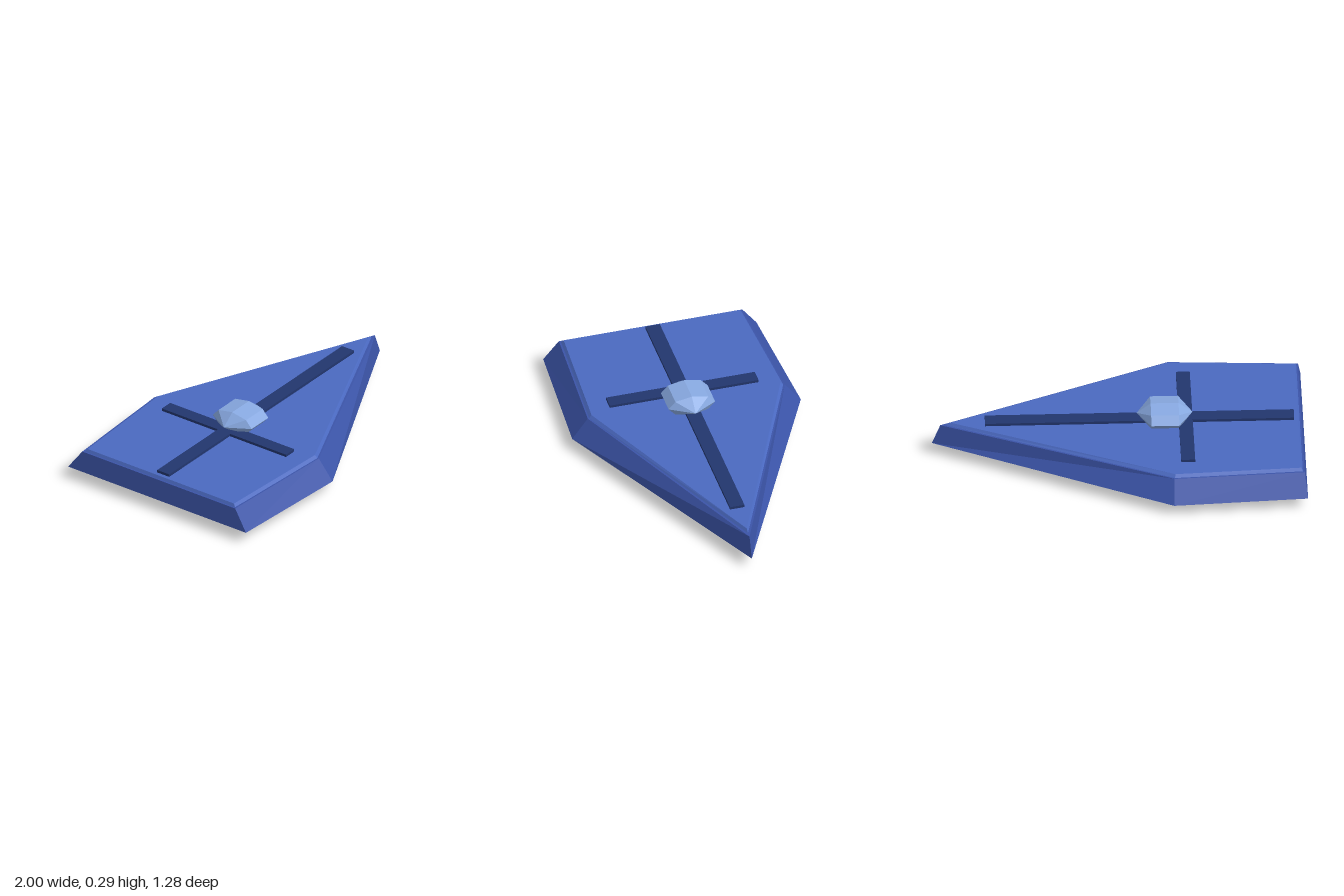
import * as THREE from 'three';

const material = (name, color) => {
  const m = new THREE.MeshStandardMaterial({ color, flatShading: true });
  m.name = name;
  return m;
};

// Arrowhead outline, from the nose round the +z side to the -z side.
const outline = (nose, midX, midZ, tailX, tailZ) =>
  [[nose, 0], [midX, midZ], [tailX, tailZ], [tailX, -tailZ], [midX, -midZ]];

// Solid between two outlines at heights y0 and y1, closed above and below.
function loft(lower, upper, y0, y1) {
  const lo = lower.map(([x, z]) => [x, y0, z]);
  const up = upper.map(([x, z]) => [x, y1, z]);
  const n = lo.length, p = [];
  const tri = (...corners) => corners.forEach((c) => p.push(...c));
  for (let i = 0; i < n; i++) {
    const j = (i + 1) % n;
    tri(lo[j], lo[i], up[i]);
    tri(lo[j], up[i], up[j]);
    if (i > 0 && i < n - 1) {
      tri(up[0], up[j], up[i]);
      tri(lo[0], lo[i], lo[j]);
    }
  }
  const g = new THREE.BufferGeometry();
  g.setAttribute('position', new THREE.Float32BufferAttribute(p, 3));
  g.computeVertexNormals();
  return g;
}

// Box given by its limits in x and y and its half width in z.
function slab(x0, x1, y0, y1, halfZ) {
  return new THREE.BoxGeometry(x1 - x0, y1 - y0, 2 * halfZ)
    .translate((x0 + x1) / 2, (y0 + y1) / 2, 0);
}

export function createModel() {
  const group = new THREE.Group();
  const hullBlue = material('hullBlue', 0x3b54a8);
  const deckBlue = material('deckBlue', 0x4a69c0);
  const trimNavy = material('trimNavy', 0x22366e);
  const canopyBlue = material('canopyBlue', 0x87a8e0);
  const footBrown = material('footBrown', 0x5c3c22);

  const add = (name, geometry, mat) => {
    const mesh = new THREE.Mesh(geometry, mat);
    mesh.name = name;
    group.add(mesh);
    return mesh;
  };

  // Sloped hull and the thin bevelled deck on it
  add('hull', loft(
    outline(1, -0.28, 0.638, -1, 0.595),
    outline(0.955, -0.285, 0.55, -0.985, 0.512), 0.065, 0.18), hullBlue);
  add('deck', loft(
    outline(0.925, -0.287, 0.542, -0.975, 0.503),
    outline(0.9, -0.29, 0.527, -0.967, 0.49), 0.18, 0.195), deckBlue);

  // Crossed raised strips
  add('longStrip', slab(-0.945, 0.715, 0.19, 0.21, 0.04), trimNavy);
  add('crossStrip', slab(-0.4, -0.325, 0.19, 0.2095, 0.415), trimNavy);

  // Faceted canopy with its poles along x
  const canopy = new THREE.SphereGeometry(0.15, 8, 3)
    .rotateZ(-Math.PI / 2).scale(1, 0.46, 1).translate(-0.25, 0.235, 0);
  add('canopy', canopy, canopyBlue);

  // Two block feet under the hull
  add('rearFoot', slab(-0.585, -0.31, 0, 0.07, 0.138), footBrown);
  add('noseFoot', slab(0.025, 0.195, 0, 0.07, 0.128), footBrown);

  return group;
}
